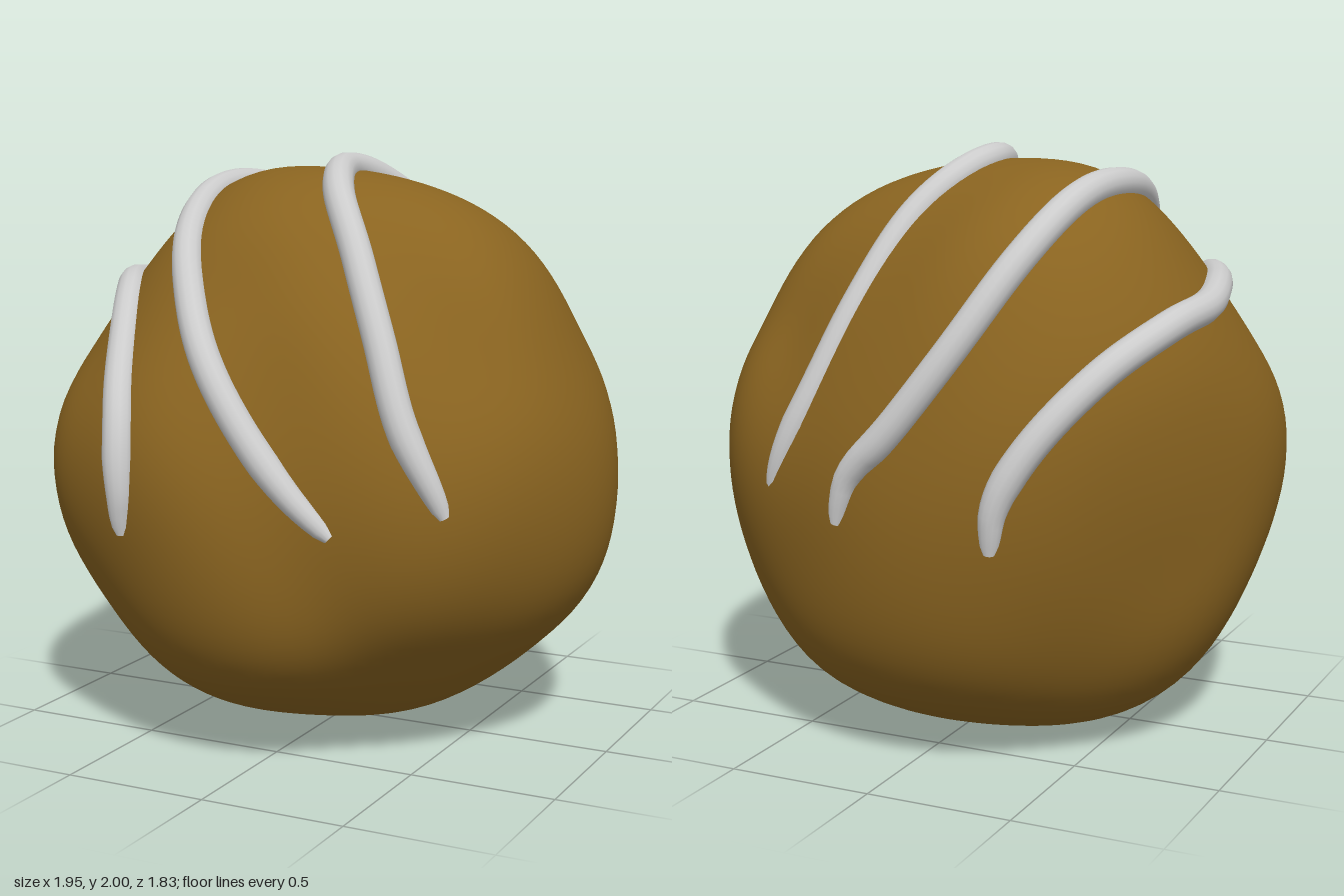
import * as THREE from 'three';
import { mergeVertices } from 'three/addons/utils/BufferGeometryUtils.js';

const CENTRE = new THREE.Vector3(0, 1, 0);

// Centre lines of the icing strands, front end to back end
const STRANDS = [
  [[.66, .9, .62], [.53, 1.17, .65], [.41, 1.44, .57], [.28, 1.67, .45], [.11, 1.88, .25], [.02, 1.95, 0],
    [.05, 1.91, -.18], [.16, 1.76, -.4], [.27, 1.49, -.6], [.38, 1.18, -.72], [.51, .86, -.75]],
  [[.34, .83, .78], [.2, .97, .8], [0, 1.2, .78], [-.2, 1.46, .66], [-.4, 1.76, .33], [-.47, 1.87, 0],
    [-.44, 1.86, -.3], [-.35, 1.68, -.6], [-.2, 1.41, -.77], [0, 1.13, -.85], [.13, .99, -.87], [.18, .83, -.87]],
  [[-.38, .79, .86], [-.37, .95, .87], [-.4, 1.15, .82], [-.5, 1.37, .62], [-.62, 1.53, .38], [-.75, 1.54, .1],
    [-.8, 1.5, -.13], [-.76, 1.46, -.36], [-.63, 1.33, -.63], [-.47, 1.12, -.8], [-.37, .94, -.84], [-.36, .78, -.86]]
];

// A few surface points that give the ball its lumps
const LUMPS = [
  // right flank, bottom, left flank
  [.4, 1.86, 0], [.6, 1.74, 0], [.75, 1.54, 0], [.87, 1.3, 0], [.96, 1.02, 0], [.97, .82, 0], [.96, .65, 0],
  [.9, .52, -.05], [.74, .38, 0], [.5, .15, 0], [.25, .04, 0], [0, 0, -.1], [-.3, .02, 0], [-.47, .03, 0],
  [-.6, .1, 0], [-.8, .33, 0], [-.9, .55, .1], [-.95, .8, .2], [-.96, 1, .22], [-.94, 1.2, .15], [-.83, 1.39, .1],
  // front and back below the strands
  [-.1, .75, .88], [-.1, .55, .87], [-.2, .33, .76], [-.05, .19, .57], [0, .1, .35],
  [0, .03, -.3], [0, .1, -.5], [0, .17, -.65], [0, .3, -.79], [0, .5, -.87], [0, .7, -.89],
  // around the waist
  [.71, .85, -.64], [.85, .9, -.42], [.95, .9, -.2], [.93, .85, .2], [.83, .8, .42], [.66, .7, .62],
  [-.75, .85, .66], [-.9, .9, .46], [-.91, 1, -.2], [-.83, .9, -.4], [-.7, .9, -.57],
  // lower corners, the front right one flattened
  [.47, .34, .46], [-.56, .39, .55], [-.38, .13, .38], [.54, .25, -.49], [.64, .52, -.58], [-.57, .44, -.57],
  [-.4, .1, -.4]
];

const samples = [...LUMPS, ...STRANDS.flat()].map(p => {
  const dir = new THREE.Vector3(...p).sub(CENTRE);
  const target = dir.length();
  return { dir: dir.normalize(), target, r: target };
});

// Smooth radius of the ball in a direction
function radiusAt(dir) {
  let sum = 0, weight = 0;
  for (const s of samples) {
    const w = Math.exp(17 * (s.dir.dot(dir) - 1));
    sum += w * s.r;
    weight += w;
  }
  return sum / weight;
}
for (let i = 0; i < 4; i++) {
  const errors = samples.map(s => s.target - radiusAt(s.dir));
  samples.forEach((s, k) => { s.r += 0.8 * errors[k]; });
}

// Point on the ball under p, raised by lift
function onBall(p, lift = 0) {
  const dir = p.clone().sub(CENTRE).normalize();
  return dir.clone().multiplyScalar(radiusAt(dir) + lift).add(CENTRE);
}

function makeBall() {
  let geo = new THREE.SphereGeometry(1, 96, 64);
  geo.deleteAttribute('uv');
  geo.deleteAttribute('normal');
  geo = mergeVertices(geo, 1e-4);
  const pos = geo.attributes.position;
  const v = new THREE.Vector3();
  for (let i = 0; i < pos.count; i++) {
    const p = onBall(v.fromBufferAttribute(pos, i).add(CENTRE));
    pos.setXYZ(i, p.x, Math.max(p.y, 0), p.z);
  }
  geo.computeVertexNormals();
  return geo;
}

// Round strand lying on the ball, narrowing and sinking at both ends
function makeStrand(points, sinkBack) {
  const path = new THREE.CatmullRomCurve3(points.map(p => new THREE.Vector3(...p)));
  const n = 44, sides = 14;
  const laid = path.getSpacedPoints(n).map((p, i) => {
    const t = i / n;
    const end = Math.max(0, 1 - Math.min(t, 1 - t) / 0.1);
    return onBall(p, 0.004 - 0.012 * end * end - sinkBack * THREE.MathUtils.smoothstep(t, 0.5, 0.75));
  });
  const curve = new THREE.CatmullRomCurve3(laid);
  const rings = 90;
  const geo = new THREE.TubeGeometry(curve, rings, 0.053, sides);
  const pos = geo.attributes.position;
  const v = new THREE.Vector3();
  for (let i = 0; i <= rings; i++) {
    const t = i / rings, c = curve.getPointAt(t);
    const taper = 0.35 + 0.65 * Math.sqrt(Math.min(1, Math.min(t, 1 - t) / 0.09));
    for (let j = 0; j <= sides; j++) {
      const k = i * (sides + 1) + j;
      v.fromBufferAttribute(pos, k).sub(c).multiplyScalar(taper).add(c);
      pos.setXYZ(k, v.x, v.y, v.z);
    }
  }
  return geo;
}

export function createModel() {
  const model = new THREE.Group();
  model.name = 'icedSweet';

  const ball = new THREE.Mesh(makeBall(), new THREE.MeshStandardMaterial({ color: 0x8a6420 }));
  ball.name = 'ball';
  model.add(ball);

  const icing = new THREE.Group();
  icing.name = 'icing';
  const white = new THREE.MeshStandardMaterial({ color: 0xcccccc, side: THREE.DoubleSide });
  STRANDS.forEach((points, i) => {
    const strand = new THREE.Mesh(makeStrand(points, i === 0 ? 0.027 : 0), white);
    strand.name = 'icingStrand' + (i + 1);
    icing.add(strand);
  });
  model.add(icing);
  return model;
}
